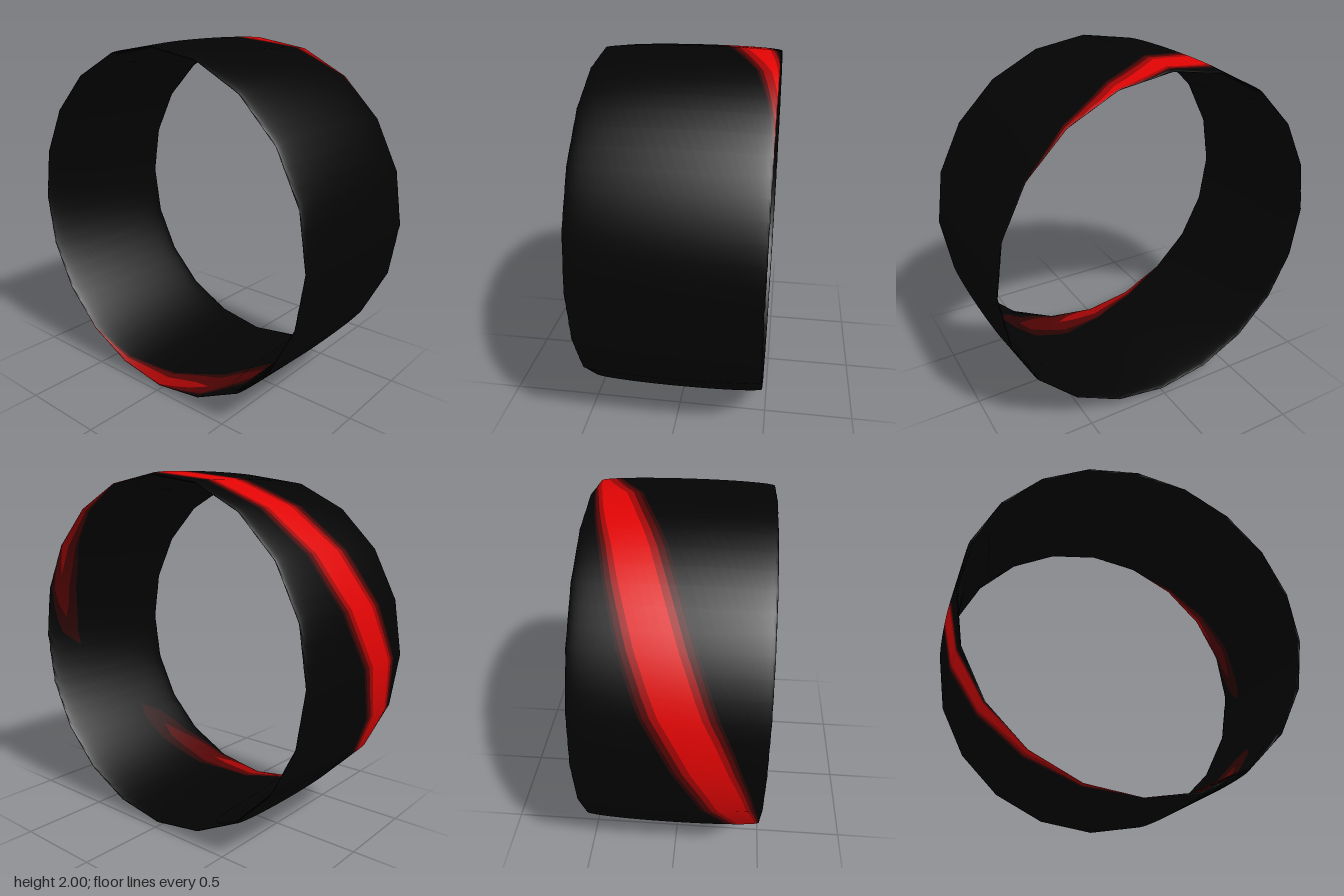
import * as THREE from 'three';

const RAD = Math.PI / 180;
const SIDES = 20, MID = 0.975, THICK = 0.025, HALF = 0.48;
const START = -24, STEP = 6, SLICES = 60;

// Centre line of the spiralling stripe: [angle round the ring, angle round the band], degrees
const PATH = [[-24, -180], [1, -137], [56, -90], [72, -73], [90, -49], [114, -28], [143, -8],
  [160, 5], [180, 26], [226, 71], [250, 92], [323, 163], [336, 180]];

// Nested stripe shades, widest first: half width and where each fades out
const SHADES = [
  { name: 'stripeFaintEdge', half: 23.5, from: -5, to: 324, color: 0x280303 },
  { name: 'stripeDarkEdge', half: 21, from: 8, to: 310, color: 0x500303 },
  { name: 'stripeMidEdge', half: 17, from: 28, to: 287, color: 0xa00404 },
  { name: 'stripeCore', half: 12.5, from: 63, to: 246, color: 0xdf0404 },
];

function centre(t) {
  let i = 0;
  while (i < PATH.length - 2 && t > PATH[i + 1][0]) i++;
  const [a, b] = [PATH[i], PATH[i + 1]];
  return a[1] + (b[1] - a[1]) * (t - a[0]) / (b[0] - a[0]);
}

// Half width, tapering to a point at both ends
function halfWidth(s, t) {
  const d = Math.min(t - s.from, s.to - t);
  return d <= 0 ? 0 : s.half * Math.sqrt(Math.min(1, d / 32));
}

// Point and normal on the flattened elliptical band, straight between ring corners
function surface(t, p) {
  const c = Math.cos(p * RAD), s = Math.sin(p * RAD), r = MID + THICK * c;
  const seg = 360 / SIDES, a0 = Math.floor(t / seg) * seg, f = (t - a0) / seg;
  const mix = (fn) => fn(a0 * RAD) * (1 - f) + fn((a0 + seg) * RAD) * f;
  const nr = c / THICK, nz = s / HALF, l = Math.hypot(nr, nz);
  return {
    pos: [r * mix(Math.cos), 1 + r * mix(Math.sin), HALF * s],
    nor: [nr / l * Math.cos(t * RAD), nr / l * Math.sin(t * RAD), nz / l],
  };
}

// Strip between two boundaries lo(t) and hi(t) round the whole ring
function strip(name, material, lo, hi, cells) {
  const pos = [], nor = [];
  const push = (v) => { pos.push(...v.pos); nor.push(...v.nor); };
  for (let i = 0; i < SLICES; i++) {
    const t0 = START + i * STEP, t1 = t0 + STEP;
    if (hi(t0) - lo(t0) < 1e-6 && hi(t1) - lo(t1) < 1e-6) continue;
    const at = (t, k) => surface(t, lo(t) + (hi(t) - lo(t)) * k / cells);
    for (let k = 0; k < cells; k++) {
      const a = at(t0, k), b = at(t1, k), c = at(t1, k + 1), d = at(t0, k + 1);
      [a, b, c, a, c, d].forEach(push);
    }
  }
  const geo = new THREE.BufferGeometry();
  geo.setAttribute('position', new THREE.Float32BufferAttribute(pos, 3));
  geo.setAttribute('normal', new THREE.Float32BufferAttribute(nor, 3));
  const mesh = new THREE.Mesh(geo, material);
  mesh.name = name;
  return mesh;
}

function paint(name, color) {
  const m = new THREE.MeshStandardMaterial({ color });
  m.name = name;
  return m;
}

export function createModel() {
  const group = new THREE.Group();
  group.name = 'ringBand';

  // Black band: everything outside the stripe
  const edge = (t) => halfWidth(SHADES[0], t);
  group.add(strip('band', paint('black', 0x030303),
    (t) => centre(t) + edge(t), (t) => centre(t) + 360 - edge(t), 48));

  // Stripe shades: a pair of edges for each, and the core in the middle
  SHADES.forEach((s, i) => {
    const mat = paint(s.name, s.color);
    const outer = (t) => halfWidth(s, t);
    const next = SHADES[i + 1];
    if (!next) {
      group.add(strip(s.name, mat, (t) => centre(t) - outer(t), (t) => centre(t) + outer(t), 4));
      return;
    }
    const inner = (t) => halfWidth(next, t);
    group.add(strip(s.name + 'Back', mat, (t) => centre(t) - outer(t), (t) => centre(t) - inner(t), 3));
    group.add(strip(s.name + 'Front', mat, (t) => centre(t) + inner(t), (t) => centre(t) + outer(t), 3));
  });
  return group;
}
